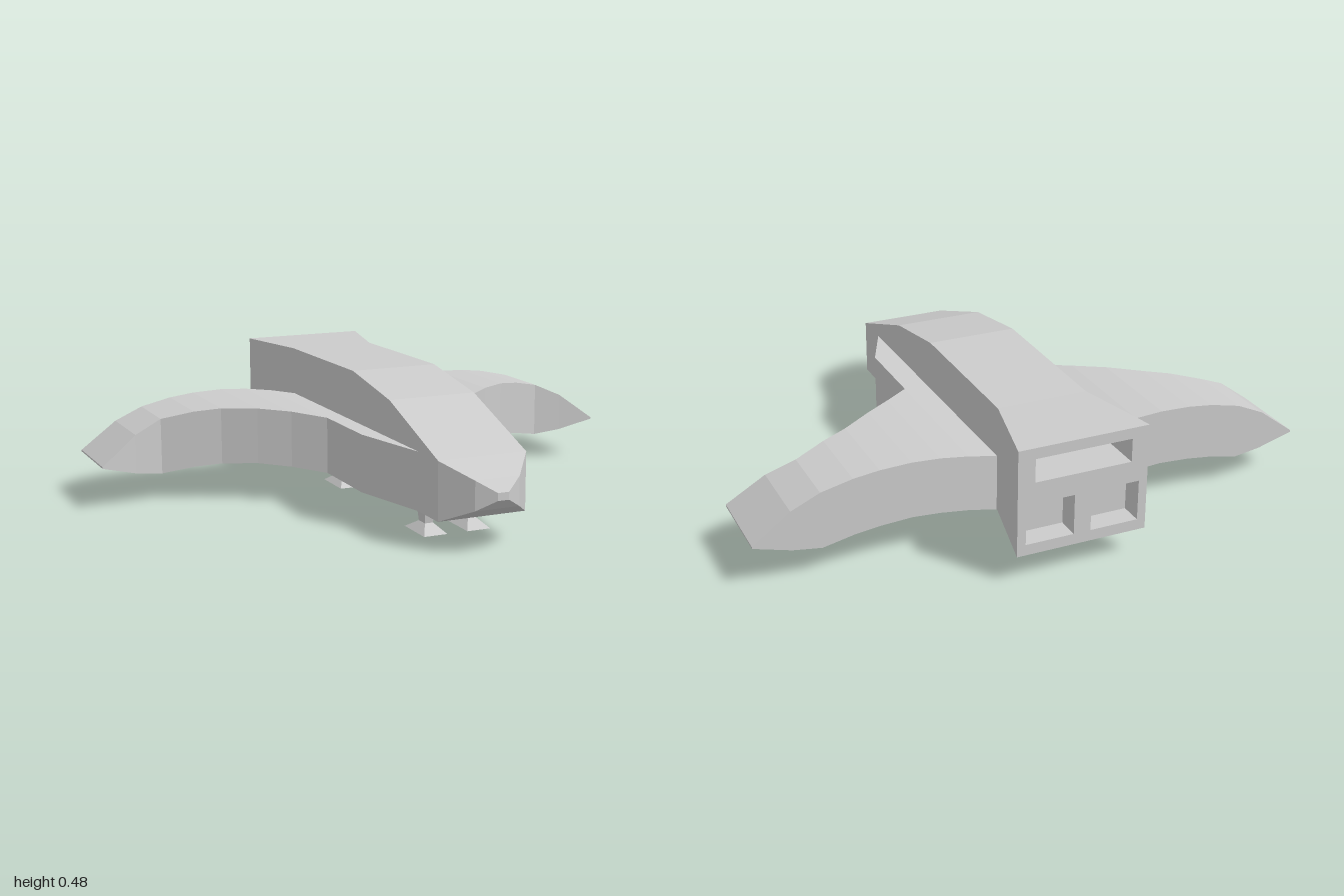
import * as THREE from 'three';

const material = new THREE.MeshStandardMaterial({ color: 0xcccccc, flatShading: true });

// Joins four-cornered rings into a faceted body; flip turns the faces around.
function loft(rings, { flip = false, start = true, end = true } = {}) {
  const pos = [];
  const quad = (a, b, c, d) => {
    const corners = flip ? [a, c, b, a, d, c] : [a, b, c, a, c, d];
    corners.forEach((p) => pos.push(...p));
  };
  for (let r = 0; r < rings.length - 1; r++) {
    const a = rings[r], b = rings[r + 1];
    for (let i = 0; i < 4; i++) {
      const j = (i + 1) % 4;
      quad(a[i], a[j], b[j], b[i]);
    }
  }
  if (start) quad(...[...rings[0]].reverse());
  if (end) quad(...rings[rings.length - 1]);
  const geometry = new THREE.BufferGeometry();
  geometry.setAttribute('position', new THREE.Float32BufferAttribute(pos, 3));
  geometry.computeVertexNormals();
  return geometry;
}

function add(group, name, geometry) {
  const mesh = new THREE.Mesh(geometry, material);
  mesh.name = name;
  group.add(mesh);
  return mesh;
}

// Upright rectangle at depth z
const rectZ = (z, x0, x1, y0, y1) => [[x0, y0, z], [x1, y0, z], [x1, y1, z], [x0, y1, z]];
// Level rectangle at height y
const rectY = (y, x, z, hw, hd) =>
  [[x - hw, y, z + hd], [x + hw, y, z + hd], [x + hw, y, z - hd], [x - hw, y, z - hd]];

const TAIL = -0.84;

export function createModel() {
  const model = new THREE.Group();
  model.name = 'spacecraft';

  // Fuselage: z, half width, bottom, top
  const hull = [
    [TAIL, 0.23, 0.1, 0.475],
    [-0.54, 0.16, 0.1, 0.475],
    [0.03, 0.16, 0.1, 0.48],
    [0.335, 0.16, 0.1, 0.43],
    [0.7, 0.16, 0.1, 0.3],
    [0.8, 0.08, 0.15, 0.25],
    [0.84, 0.02, 0.187, 0.213],
  ].map(([z, w, y0, y1]) => rectZ(z, -w, w, y0, y1));
  add(model, 'fuselage', loft(hull, { start: false }));

  // Tail plate with engine openings: x0, x1, y0, y1, depth
  const openings = [
    [-0.17, 0.17, 0.355, 0.437, 0.2],
    [-0.2, -0.03, 0.138, 0.28, 0.08],
    [0.03, 0.2, 0.138, 0.28, 0.08],
  ];
  const outline = (x0, x1, y0, y1, Type) => new Type([
    new THREE.Vector2(x0, y0), new THREE.Vector2(x1, y0),
    new THREE.Vector2(x1, y1), new THREE.Vector2(x0, y1),
  ]);
  const plate = outline(-0.23, 0.23, 0.1, 0.475, THREE.Shape);
  for (const [x0, x1, y0, y1, depth] of openings) {
    plate.holes.push(outline(x0, x1, y0, y1, THREE.Path));
    add(model, 'engineRecess', loft(
      [rectZ(TAIL, x0, x1, y0, y1), rectZ(TAIL + depth, x0, x1, y0, y1)],
      { flip: true, start: false }));
  }
  add(model, 'tailPlate', new THREE.ShapeGeometry(plate).rotateY(Math.PI).translate(0, 0, TAIL));

  // Wings: x, leading edge z, bottom, top
  const wing = [
    [0.16, 0.56, 0.1, 0.3],
    [0.26, 0.33, 0.12, 0.32],
    [0.26, 0.03, 0.12, 0.32],
    [0.36, -0.06, 0.133, 0.334],
    [0.46, -0.135, 0.14, 0.34],
    [0.57, -0.21, 0.134, 0.336],
    [0.66, -0.247, 0.123, 0.325],
    [0.77, -0.29, 0.1, 0.3],
    [0.87, -0.268, 0.115, 0.255],
    [1.0, -0.238, 0.152, 0.158],
  ];
  for (const side of [1, -1]) {
    const rings = wing.map(([x, z, y0, y1]) =>
      [[side * x, y0, z], [side * x, y0, -0.535], [side * x, y1, -0.535], [side * x, y1, z]]);
    add(model, side > 0 ? 'leftWing' : 'rightWing', loft(rings, { flip: side < 0 }));
  }

  // Landing legs: flared foot, narrow ankle, wider top
  for (const side of [1, -1]) {
    const x = side * 0.081;
    add(model, 'frontLeg', loft([
      rectY(0, x, 0.455, 0.043, 0.075),
      rectY(0.03, x, 0.455, 0.015, 0.023),
      rectY(0.11, x, 0.455, 0.022, 0.035),
    ]));
    add(model, 'rearLeg', loft([
      rectY(0, x, -0.25, 0.043, 0.08),
      rectY(0.03, x, -0.25, 0.015, 0.028),
      rectY(0.11, x, -0.25, 0.022, 0.062),
    ]));
  }
  return model;
}
